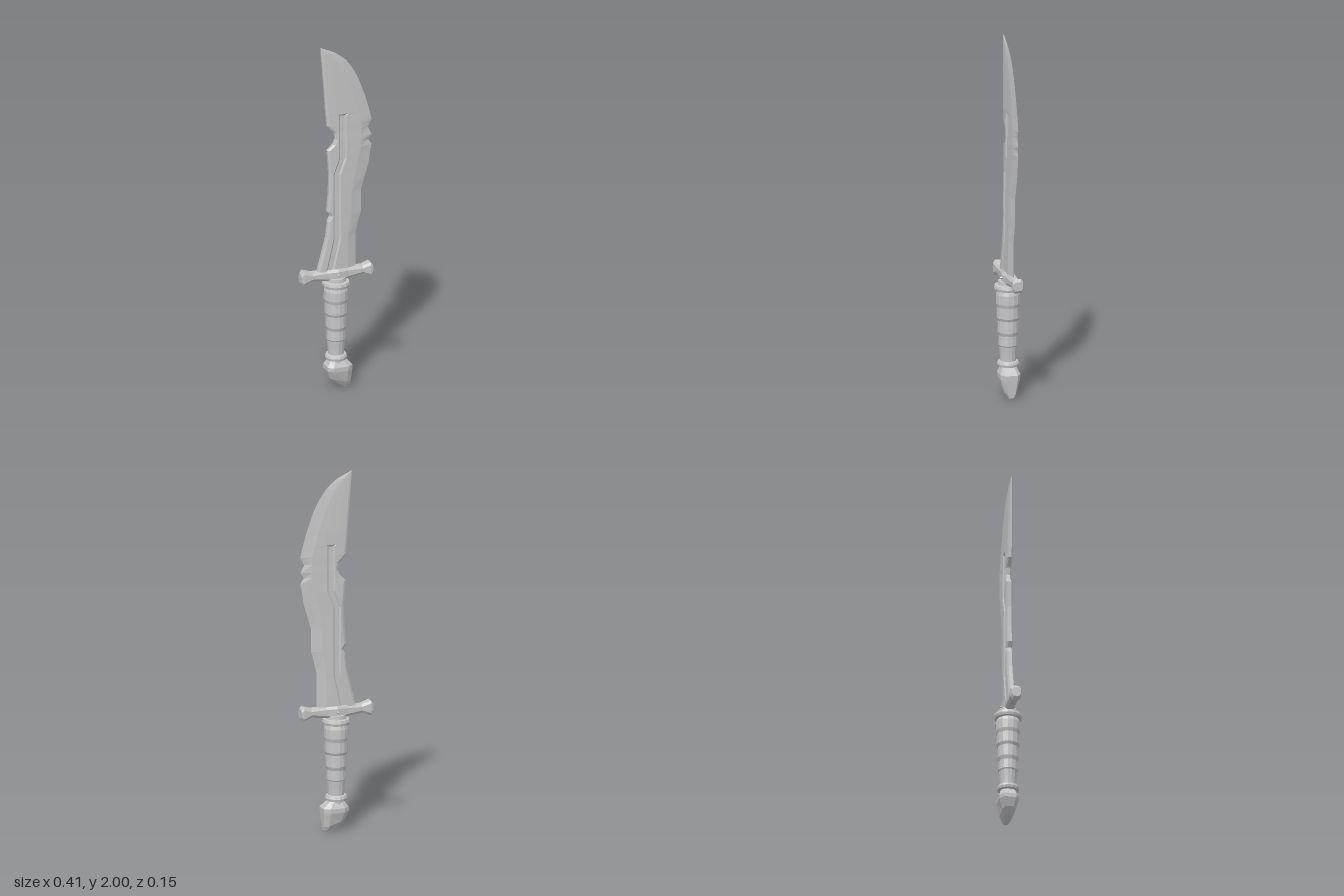
import * as THREE from 'three';

const steel = new THREE.MeshStandardMaterial({ color: 0xc4c4c4, flatShading: true });
steel.name = 'pale steel';

// Closed skin through equal-length rings of [x, y, z]; winding is fixed by signed volume.
function loft(rings) {
  const tris = [];
  const n = rings[0].length;
  for (let r = 0; r < rings.length - 1; r++) {
    for (let i = 0; i < n; i++) {
      const j = (i + 1) % n;
      const [a, b, c, d] = [rings[r][i], rings[r][j], rings[r + 1][j], rings[r + 1][i]];
      tris.push([a, b, c], [a, c, d]);
    }
  }
  const cap = (ring, flip) => {
    const mid = [0, 1, 2].map(k => ring.reduce((sum, p) => sum + p[k], 0) / n);
    ring.forEach((p, i) => {
      const q = ring[(i + 1) % n];
      tris.push(flip ? [mid, q, p] : [mid, p, q]);
    });
  };
  cap(rings[0], true);
  cap(rings[rings.length - 1], false);

  let volume = 0;
  for (const [a, b, c] of tris) {
    volume += a[0] * (b[1] * c[2] - b[2] * c[1])
      + a[1] * (b[2] * c[0] - b[0] * c[2])
      + a[2] * (b[0] * c[1] - b[1] * c[0]);
  }
  const flat = tris.flatMap(t => (volume < 0 ? [t[0], t[2], t[1]] : t)).flat();
  const geometry = new THREE.BufferGeometry();
  geometry.setAttribute('position', new THREE.Float32BufferAttribute(flat, 3));
  geometry.computeVertexNormals();
  return geometry;
}

function addPart(group, name, geometry) {
  const mesh = new THREE.Mesh(geometry, steel);
  mesh.name = name;
  group.add(mesh);
  return mesh;
}

// Rectangle with cut corners, as [u, v] pairs
function chamfered(u0, u1, v, cutU, cutV) {
  return [[u0 + cutU, v], [u1 - cutU, v], [u1, v - cutV], [u1, cutV - v],
    [u1 - cutU, -v], [u0 + cutU, -v], [u0, cutV - v], [u0, v - cutV]];
}

// One blade section: blunt spine, sunken channel, bevel and sharp edge
function bladeRing([y, spine, bevel, edge, t, channel]) {
  const back = spine + Math.min(0.012, (bevel - spine) * 0.2);
  const sunk = channel !== undefined;
  const g1 = sunk ? channel : back + (bevel - back) * 0.3;
  const g2 = sunk ? channel + 0.045 : back + (bevel - back) * 0.7;
  const wall = Math.min(0.009, (g2 - g1) * 0.2);
  const floor = sunk ? t - 0.007 : t;
  const side = [[spine, t * 0.5], [back, t * 0.9], [g1, t], [g1 + wall, floor],
    [g2 - wall, floor], [g2, t], [bevel, t * 0.85]];
  return [
    ...side.map(([x, z]) => [x, y, z]),
    [edge, y, 0],
    ...side.reverse().map(([x, z]) => [x, y, -z]),
  ];
}

export function createModel() {
  const group = new THREE.Group();
  group.name = 'curved knife';

  // Blade rows: y, spine x, bevel x, edge x, half thickness, channel x
  const bladeRows = [
    [0.66, -0.122, 0.06, 0.11, 0.02, -0.072],
    [0.70, -0.112, 0.06, 0.11, 0.02, -0.064],
    [0.86, -0.070, 0.06, 0.11, 0.02, -0.028],
    [0.89, -0.063, 0.062, 0.11, 0.02, -0.025],
    [0.98, -0.053, 0.075, 0.132, 0.019, -0.025],
    [1.01, -0.038, 0.08, 0.142, 0.019, -0.025],
    [1.04, -0.057, 0.08, 0.142, 0.019, -0.025],
    [1.14, -0.048, 0.082, 0.142, 0.019, -0.025],
    [1.25, -0.045, 0.105, 0.175, 0.018, -0.025],
    [1.28, -0.047, 0.11, 0.184, 0.018, -0.014],
    [1.34, -0.051, 0.122, 0.193, 0.018, 0.008],
    [1.395, -0.055, 0.14, 0.203, 0.017, 0.008],
    [1.425, -0.022, 0.14, 0.182, 0.017, 0.008],
    [1.455, -0.010, 0.14, 0.203, 0.017, 0.008],
    [1.495, -0.016, 0.14, 0.182, 0.016, 0.008],
    [1.52, -0.040, 0.14, 0.192, 0.016, 0.008],
    [1.54, -0.057, 0.14, 0.204, 0.016, 0.008],
    [1.59, -0.061, 0.125, 0.192, 0.015, 0.008],
    [1.60, -0.062, 0.122, 0.189, 0.015],
    [1.68, -0.068, 0.1, 0.167, 0.014],
    [1.79, -0.076, 0.062, 0.127, 0.012],
    [1.85, -0.081, 0.036, 0.096, 0.011],
    [1.91, -0.086, 0.004, 0.055, 0.009],
    [1.96, -0.090, -0.038, -0.005, 0.007],
    [2.00, -0.093, -0.091, -0.09, 0.002],
  ];
  addPart(group, 'blade', loft(bladeRows.map(bladeRing)));

  // Crossguard with flared ends: x, bottom, top, half depth
  const guardRows = [
    [-0.210, 0.645, 0.695, 0.024],
    [-0.196, 0.630, 0.712, 0.030],
    [-0.145, 0.648, 0.696, 0.025],
    [-0.060, 0.637, 0.698, 0.026],
    [0, 0.632, 0.700, 0.036],
    [0.060, 0.637, 0.698, 0.026],
    [0.145, 0.648, 0.696, 0.025],
    [0.190, 0.630, 0.710, 0.030],
    [0.204, 0.645, 0.695, 0.026],
  ];
  addPart(group, 'crossguard', loft(guardRows.map(([x, y0, y1, z]) =>
    chamfered(y0, y1, z, 0.014, 0.01).map(([y, w]) => [x, y, w]))));

  // Pointed stud on each face of the guard
  for (const side of [1, -1]) {
    const stud = addPart(group, 'guardStud', new THREE.ConeGeometry(0.013, 0.02, 4));
    stud.position.set(0, 0.668, side * 0.039);
    stud.rotation.x = side * Math.PI / 2;
  }

  // Round grip with swollen bands between two collars: radius, y
  const gripProfile = [
    [0, 0.155], [0.045, 0.155], [0.045, 0.17], [0.058, 0.174], [0.061, 0.187], [0.056, 0.2],
    [0.044, 0.204], [0.046, 0.24], [0.050, 0.285], [0.054, 0.292], [0.051, 0.345],
    [0.058, 0.365], [0.056, 0.43], [0.063, 0.445], [0.061, 0.505], [0.067, 0.525],
    [0.066, 0.575], [0.060, 0.595], [0.073, 0.598], [0.077, 0.612], [0.073, 0.627],
    [0.056, 0.63], [0.054, 0.65], [0, 0.65],
  ].map(([r, y]) => new THREE.Vector2(r, y));
  const grip = addPart(group, 'grip', new THREE.LatheGeometry(gripProfile, 14));
  grip.position.x = -0.003;

  // Hooked pommel: y at centre, left x, right x, half depth, downward slope towards +x
  const pommelRows = [
    [0.172, -0.040, 0.040, 0.038, 0],
    [0.135, -0.064, 0.080, 0.055, 0],
    [0.110, -0.064, 0.079, 0.054, 0.05],
    [0.048, -0.045, 0.073, 0.036, 0.3],
    [0.022, -0.015, 0.071, 0.022, 0.3],
    [0.004, 0.036, 0.067, 0.012, 0.1],
  ];
  addPart(group, 'pommel', loft(pommelRows.map(([y, x0, x1, z, slope]) =>
    chamfered(x0, x1, z, (x1 - x0) * 0.22, z * 0.4).map(([x, w]) =>
      [x, Math.max(0, y - slope * (x - (x0 + x1) / 2)), w]))));

  return group;
}
